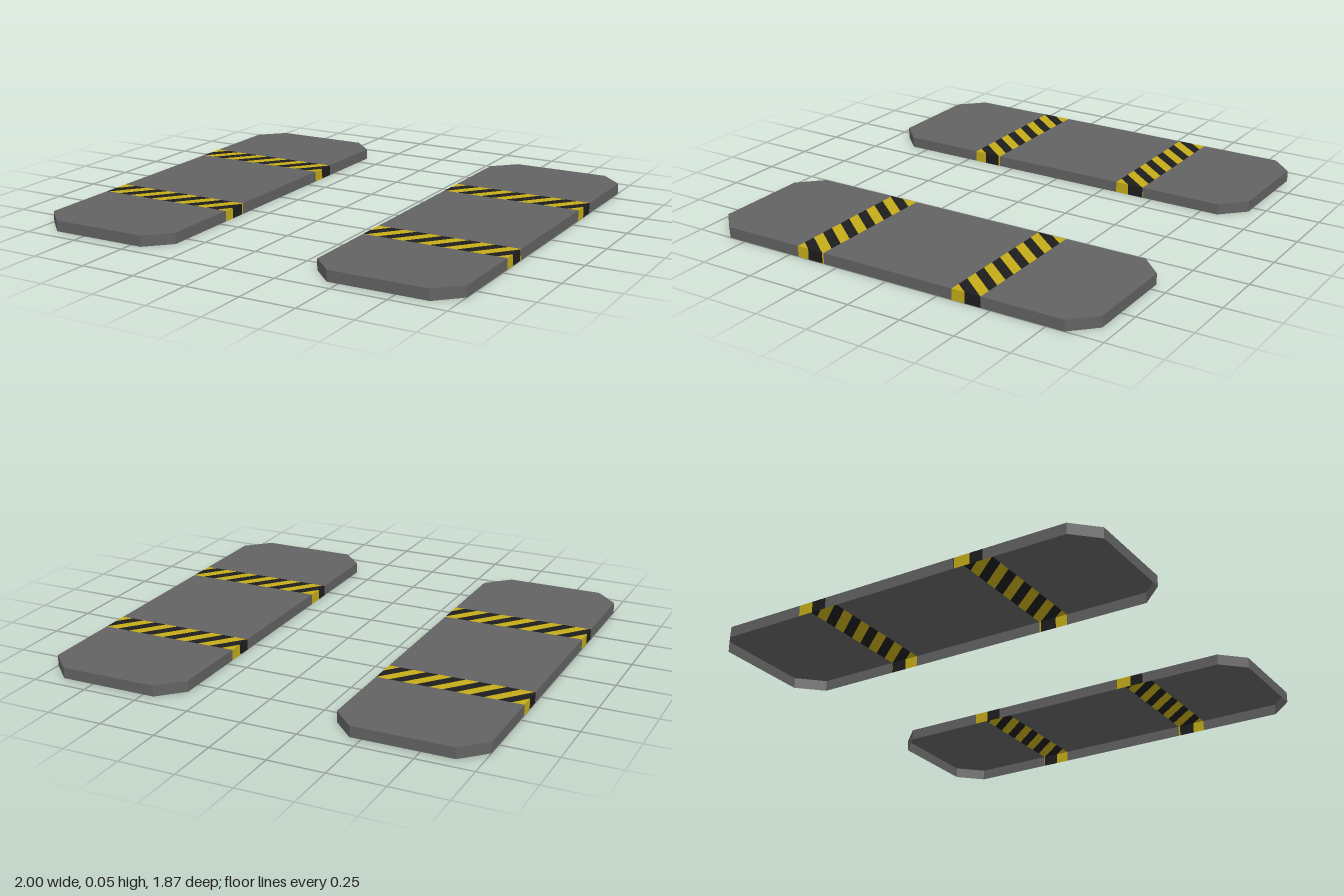
import * as THREE from 'three';

const X0 = 0.345, X1 = 1, HALF_LENGTH = 0.935, THICK = 0.049, CUT = 0.104;
const BAND_IN = 0.319, BAND_OUT = 0.455;
const PITCH = 0.12, SLANT = 0.82;

function mat(name, color) {
  const m = new THREE.MeshStandardMaterial({ color, side: THREE.DoubleSide });
  m.name = name;
  return m;
}

// True where an edge lies on the platform's outer outline
function isRim([ax, az], [bx, bz]) {
  return (ax === bx && (ax === X0 || ax === X1)) || Math.max(Math.abs(az), Math.abs(bz)) > BAND_OUT;
}

// Open-bottomed panel: a convex top from [x, z] points, clockwise from above, with skirt walls on the rim
function panel(points, material, name) {
  const pos = [];
  const add = (...corners) => corners.forEach(([x, z], y) => pos.push(x, z, y));
  const tri = (...corners) => corners.forEach(([p, y]) => pos.push(p[0], y, p[1]));
  for (let i = 1; i < points.length - 1; i++) {
    tri([points[0], THICK], [points[i + 1], THICK], [points[i], THICK]);
  }
  points.forEach((a, i) => {
    const b = points[(i + 1) % points.length];
    if (!isRim(a, b)) return;
    tri([a, THICK], [b, THICK], [b, 0]);
    tri([a, THICK], [b, 0], [a, 0]);
  });
  const geo = new THREE.BufferGeometry();
  geo.setAttribute('position', new THREE.Float32BufferAttribute(pos, 3));
  geo.computeVertexNormals();
  const mesh = new THREE.Mesh(geo, material);
  mesh.name = name;
  return mesh;
}

// Keep the part of a polygon where sign * (x + SLANT * z - limit) >= 0
function clip(points, limit, sign) {
  const side = ([x, z]) => sign * (x + SLANT * z - limit);
  const out = [];
  points.forEach((a, i) => {
    const b = points[(i + 1) % points.length];
    const da = side(a), db = side(b);
    if (da >= 0) out.push(a);
    if (da * db < 0) {
      const t = da / (da - db);
      out.push([a[0] + (b[0] - a[0]) * t, a[1] + (b[1] - a[1]) * t]);
    }
  });
  return out;
}

const rectangle = (zMin, zMax) => [[X0, zMin], [X1, zMin], [X1, zMax], [X0, zMax]];

// Slanted hazard stripes filling a band; edge is where yellow begins at x = X1
function hazardBand(zMin, zMax, edge, colours, name) {
  const band = new THREE.Group();
  band.name = name;
  const start = X1 + SLANT * edge;
  for (let i = -16; i <= 4; i++) {
    const lo = start + i * PITCH / 2;
    const piece = clip(clip(rectangle(zMin, zMax), lo, 1), lo + PITCH / 2, -1);
    if (piece.length < 3) continue;
    const yellow = i % 2 === 0;
    band.add(panel(piece, yellow ? colours.yellow : colours.black, yellow ? 'yellowStripe' : 'blackStripe'));
  }
  return band;
}

function createPlatform(colours, name) {
  const platform = new THREE.Group();
  platform.name = name;
  // Chamfered end plates
  const end = [
    [X0, BAND_OUT], [X1, BAND_OUT], [X1, HALF_LENGTH - CUT],
    [X1 - CUT, HALF_LENGTH], [X0 + CUT, HALF_LENGTH], [X0, HALF_LENGTH - CUT],
  ];
  platform.add(panel(end, colours.grey, 'frontPlate'));
  platform.add(panel(end.map(([x, z]) => [x, -z]).reverse(), colours.grey, 'backPlate'));
  // Middle plate
  platform.add(panel(rectangle(-BAND_IN, BAND_IN), colours.grey, 'middlePlate'));
  // Hazard bands
  platform.add(hazardBand(BAND_IN, BAND_OUT, 0.4, colours, 'frontHazardBand'));
  platform.add(hazardBand(-BAND_OUT, -BAND_IN, -0.381, colours, 'backHazardBand'));
  return platform;
}

export function createModel() {
  const colours = {
    grey: mat('plate grey', 0x626262),
    yellow: mat('hazard yellow', 0xc4ac18),
    black: mat('hazard black', 0x1d1d1d),
  };
  const model = new THREE.Group();
  model.name = 'pairOfPlatforms';
  const left = createPlatform(colours, 'leftPlatform');
  // The second platform repeats the first, shifted sideways
  const right = createPlatform(colours, 'rightPlatform');
  right.position.x = -(X0 + X1);
  model.add(left, right);
  return model;
}
